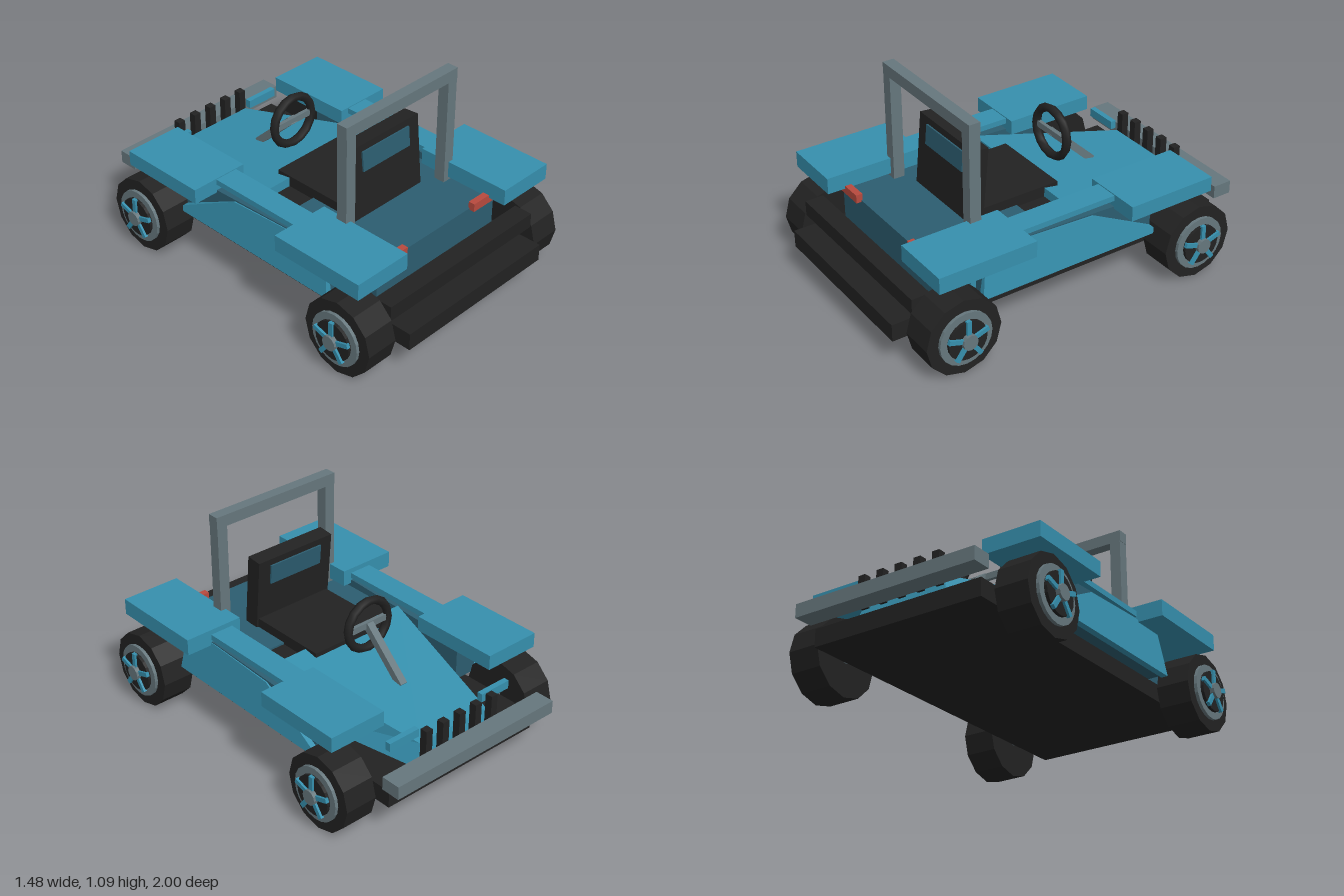
import * as THREE from 'three';

const mat = (name, color) => {
  const m = new THREE.MeshStandardMaterial({ color });
  m.name = name;
  return m;
};

export function createModel() {
  const blue = mat('blue paint', 0x3690ae);
  const teal = mat('dark teal', 0x2c5d70);
  const grey = mat('grey metal', 0x66777d);
  const black = mat('black', 0x222222);
  const red = mat('red', 0xb84a3e);
  const car = new THREE.Group();
  car.name = 'buggy';

  const add = (name, geo, material, parent = car) => {
    const m = new THREE.Mesh(geo, material);
    m.name = name;
    parent.add(m);
    return m;
  };
  // Box given by its limits on each axis
  const box = (name, material, [x0, x1], [y0, y1], [z0, z1], parent = car) => {
    const m = add(name, new THREE.BoxGeometry(x1 - x0, y1 - y0, z1 - z0), material, parent);
    m.position.set((x0 + x1) / 2, (y0 + y1) / 2, (z0 + z1) / 2);
    return m;
  };
  const span = (s, a, b) => (s > 0 ? [a, b] : [-b, -a]);
  // Side profile of [z, y] points extruded along x from x0 to x1
  const sidePlate = (name, material, pts, x0, x1) => {
    const shape = new THREE.Shape(pts.map(([z, y]) => new THREE.Vector2(-z, y)));
    const geo = new THREE.ExtrudeGeometry(shape, { depth: x1 - x0, bevelEnabled: false });
    geo.rotateY(Math.PI / 2);
    geo.translate(x0, 0, 0);
    return add(name, geo, material);
  };

  // Chassis, bumpers and rear deck
  box('chassis', black, [-0.477, 0.477], [0.158, 0.25], [-0.9, 1]);
  box('frontBumper', grey, [-0.515, 0.515], [0.28, 0.35], [-1, -0.895]);
  box('rearBumper', black, [-0.51, 0.51], [0.295, 0.375], [0.81, 0.91]);
  box('rearDeck', teal, [-0.42, 0.42], [0.25, 0.46], [0.135, 0.738]);
  box('floor', black, [-0.42, 0.42], [0.25, 0.45], [-0.03, 0.135]);

  // Tapered sloping hood
  const hoodGeo = new THREE.BoxGeometry(1, 1, 1);
  const p = hoodGeo.attributes.position;
  for (let i = 0; i < p.count; i++) {
    const sx = Math.sign(p.getX(i)), top = p.getY(i) > 0;
    if (p.getZ(i) > 0) p.setXYZ(i, sx * (top ? 0.4 : 0.42), top ? 0.5 : 0.25, -0.03);
    else p.setXYZ(i, sx * (top ? 0.22 : 0.26), top ? 0.36 : 0.25, top ? -0.835 : -0.86);
  }
  const hood = hoodGeo.toNonIndexed();
  hood.computeVertexNormals();
  add('hood', hood, blue);

  // Grille bars
  for (let i = -2; i <= 2; i++)
    box('grilleBar', black, [i * 0.108 - 0.02, i * 0.108 + 0.02], [0.3, 0.46], [-0.89, -0.85]);

  for (const s of [1, -1]) {
    // Fenders, rails and small bars
    box('frontFender', blue, span(s, 0.35, 0.67), [0.465, 0.545], [-0.725, -0.23]);
    box('rearFender', blue, span(s, 0.35, 0.675), [0.48, 0.567], [0.33, 0.86]);
    box('sideRail', blue, span(s, 0.4, 0.53), [0.51, 0.54], [-0.23, 0.33]);
    box('innerWall', blue, span(s, 0.42, 0.46), [0.26, 0.48], [-0.03, 0.555]);
    box('headlampBar', blue, span(s, 0.21, 0.395), [0.385, 0.43], [-0.815, -0.785]);
    box('tailLight', red, span(s, 0.24, 0.39), [0.45, 0.495], [0.73, 0.765]);

    // Side pod with a leaning outer skin
    const podX = span(s, 0.4, 0.53);
    sidePlate('sidePod', teal,
      [[0.53, 0.258], [0.52, 0.485], [0.3, 0.5], [-0.46, 0.468], [-0.46, 0.258]], ...podX);
    const skin = sidePlate('sideSkin', blue,
      [[0.555, 0.258], [0.52, 0.49], [0.3, 0.495], [-0.1, 0.475], [-0.46, 0.29], [-0.46, 0.258]],
      ...span(s, 0.53, 0.565));
    const q = skin.geometry.attributes.position;
    for (let i = 0; i < q.count; i++)
      if (Math.abs(q.getX(i)) > 0.55) q.setX(i, s * (0.565 - (q.getY(i) - 0.258) * 0.13));
    skin.geometry.computeVertexNormals();

    // Roll bar post
    box('rollBarPost', grey, span(s, 0.32, 0.38), [0.455, 1.03], [0.442, 0.503]);
  }
  box('rollBarTop', grey, [-0.382, 0.382], [1.03, 1.092], [0.442, 0.503]);

  // Seat
  box('seatCushion', black, [-0.227, 0.227], [0.43, 0.51], [-0.11, 0.34]);
  const back = new THREE.Group();
  back.name = 'seatBack';
  back.position.set(0, 0.46, 0.38);
  back.rotation.x = -0.09;
  car.add(back);
  box('seatBackrest', black, [-0.237, 0.237], [0, 0.387], [-0.043, 0.043], back);
  box('seatPanel', teal, [-0.163, 0.163], [0.245, 0.352], [-0.052, 0.052], back);

  // Steering wheel and column
  const wheel = add('steeringWheel', new THREE.TorusGeometry(0.13, 0.023, 6, 16), black);
  wheel.position.set(0, 0.645, -0.235);
  box('steeringSpoke', grey, [-0.12, 0.12], [0.628, 0.662], [-0.245, -0.225]);
  const column = add('steeringColumn', new THREE.BoxGeometry(0.04, 0.04, 0.34), grey);
  column.position.set(0, 0.53, -0.36);
  column.rotation.x = -0.76;

  // Wheels: built facing +x and turned around for the other side
  const disc = (name, material, r, x0, x1, n, parent) => {
    const geo = new THREE.CylinderGeometry(r, r, x1 - x0, n).toNonIndexed();
    geo.rotateZ(-Math.PI / 2);
    geo.computeVertexNormals();
    return add(name, geo.translate((x0 + x1) / 2, 0, 0), material, parent);
  };
  for (const z of [0.74, -0.645]) {
    const axle = disc('axle', grey, 0.03, -0.52, 0.52, 12, car);
    axle.position.set(0, 0.203, z);
    for (const s of [1, -1]) {
      const g = new THREE.Group();
      g.name = 'wheel';
      g.position.set(0, 0.203, z);
      if (s < 0) g.rotation.y = Math.PI;
      car.add(g);
      disc('tire', black, 0.203, 0.51, 0.685, 12, g);
      disc('rim', grey, 0.142, 0.68, 0.702, 20, g);
      disc('rimCenter', black, 0.105, 0.7, 0.718, 20, g);
      disc('hub', grey, 0.04, 0.715, 0.742, 12, g);
      for (let i = 0; i < 5; i++) {
        const spoke = new THREE.BoxGeometry(0.018, 0.09, 0.024);
        spoke.translate(0.721, 0.067, 0);
        add('wheelSpoke', spoke, blue, g).rotation.x = (i * Math.PI * 2) / 5;
      }
    }
  }
  return car;
}
